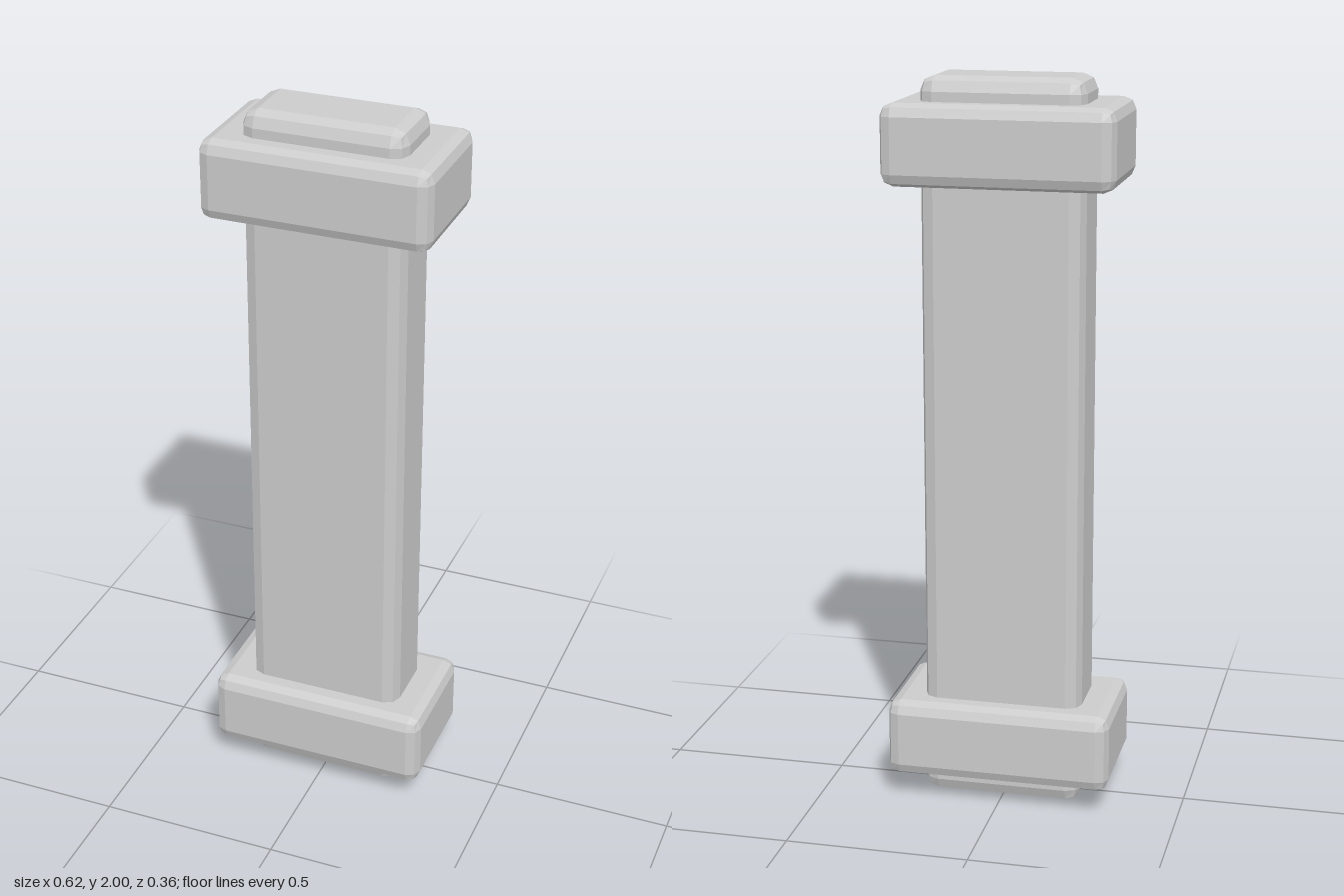
import * as THREE from 'three';
import { RoundedBoxGeometry } from 'three/addons/geometries/RoundedBoxGeometry.js';

// Box with two-step bevelled edges and flat facets, standing between two heights
function bevelBox(name, width, depth, bottom, top, bevel, material) {
  const geometry = new RoundedBoxGeometry(width, top - bottom, depth, 1, bevel);
  geometry.computeVertexNormals(); // unindexed, so every facet stays flat
  const mesh = new THREE.Mesh(geometry, material);
  mesh.name = name;
  mesh.position.y = (bottom + top) / 2;
  return mesh;
}

export function createModel() {
  const model = new THREE.Group();
  model.name = 'bandedPillar';
  const stone = new THREE.MeshStandardMaterial({ color: 0xcccccc });
  stone.name = 'light grey';

  // Slim core running the full height
  model.add(bevelBox('shaft', 0.443, 0.223, 0, 2, 0.04, stone));

  // Matching collars near both ends
  model.add(bevelBox('lowerCollar', 0.623, 0.356, 0.069, 0.286, 0.034, stone));
  model.add(bevelBox('upperCollar', 0.623, 0.356, 1.717, 1.934, 0.034, stone));

  return model;
}
